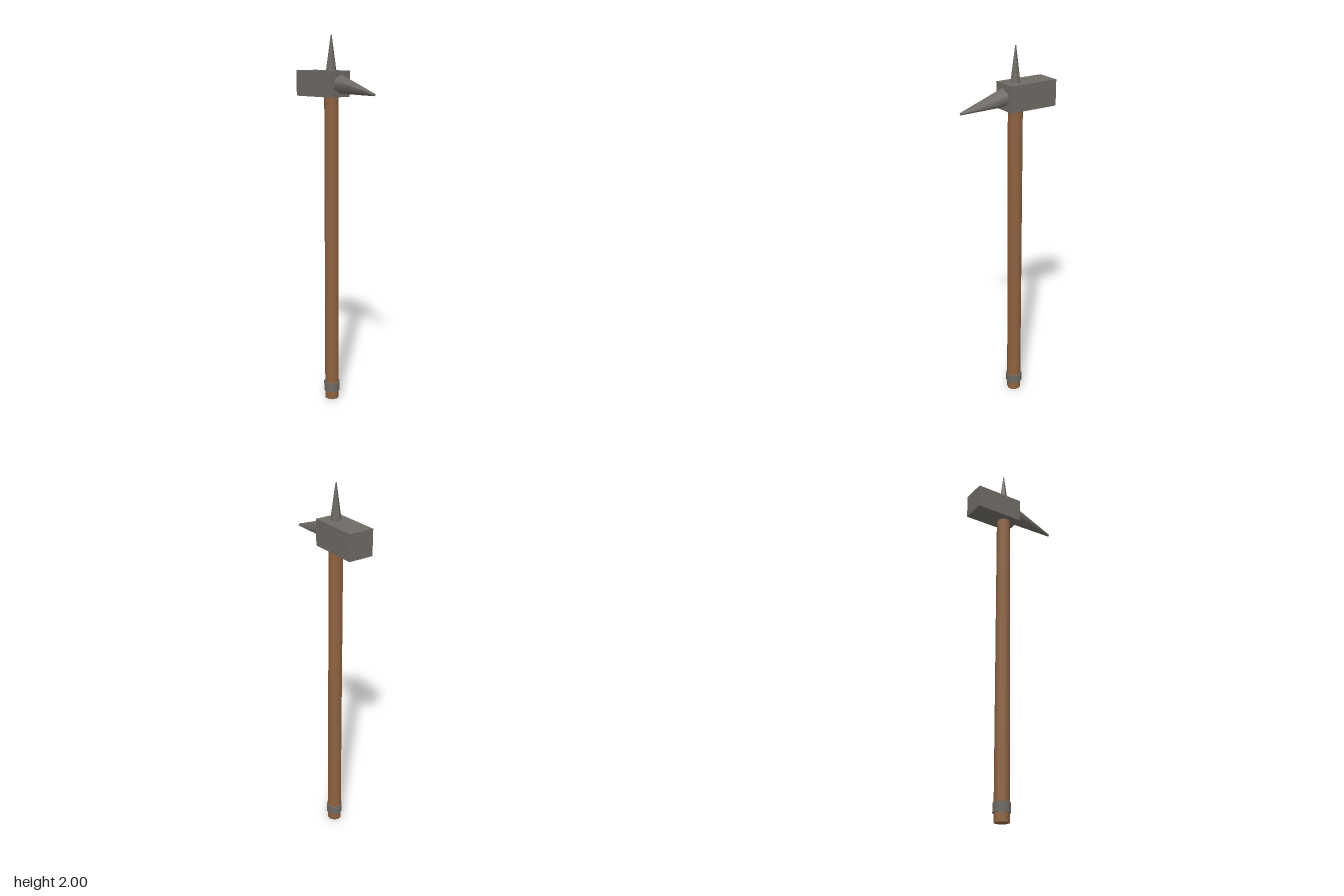
import * as THREE from 'three';

export function createModel() {
  const group = new THREE.Group();
  const wood = new THREE.MeshStandardMaterial({ name: 'wood', color: 0x8e6240 });
  const steel = new THREE.MeshStandardMaterial({ name: 'steel', color: 0x6e6a65 });
  const axisX = -0.059; // centre line of the shaft

  const add = (name, geometry, material, x, y) => {
    const mesh = new THREE.Mesh(geometry, material);
    mesh.name = name;
    mesh.position.set(x, y, 0);
    group.add(mesh);
    return mesh;
  };

  // Tapered prism with a corner on the x axis, standing on y = 0
  const prism = (top, bottom, height, sides) =>
    new THREE.CylinderGeometry(top, bottom, height, sides, 1, false, Math.PI / 2)
      .translate(0, height / 2, 0);

  // Wooden shaft and the steel band near its foot
  add('shaft', prism(0.0375, 0.039, 1.7, 10), wood, axisX, 0);
  add('band', prism(0.045, 0.045, 0.05, 10), steel, axisX, 0.046);

  // Hammer head
  add('hammerHead', new THREE.BoxGeometry(0.27, 0.133, 0.133), steel, -0.125, 1.756);

  // Six-sided spike on top
  add('topSpike', prism(0.003, 0.0275, 0.18, 6), steel, axisX, 1.82);

  // Six-sided pick, drooping slightly
  const pick = add('sidePick', prism(0.0065, 0.049, 0.252, 6), steel, 0.01, 1.756);
  pick.rotation.z = -Math.PI / 2 - 0.18;

  return group;
}
